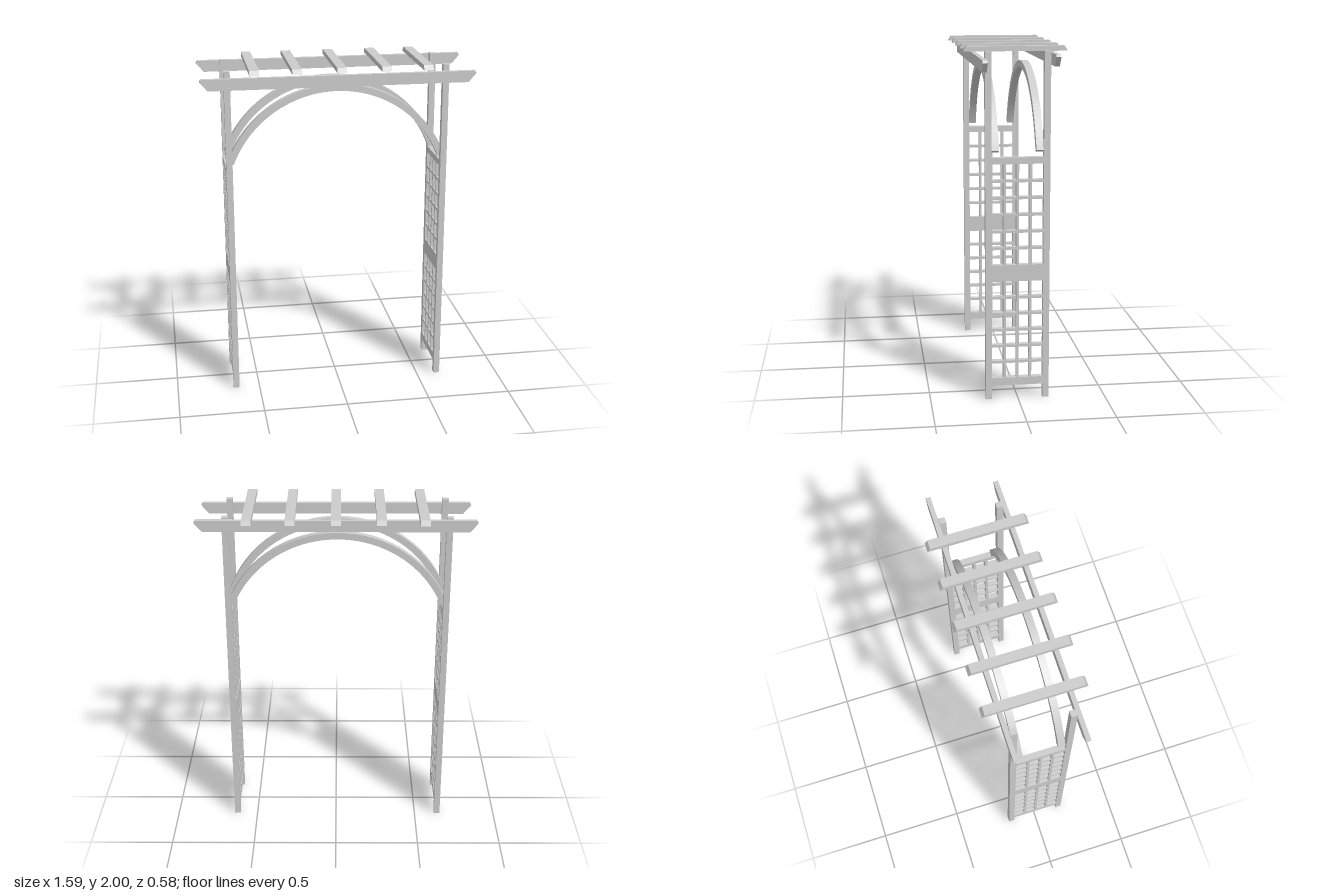
import * as THREE from 'three';

const material = new THREE.MeshStandardMaterial({ color: 0xcccccc, flatShading: true });

function add(parent, name, geometry) {
  const mesh = new THREE.Mesh(geometry, material);
  mesh.name = name;
  parent.add(mesh);
  return mesh;
}

// Box given by its low and high corner on each axis
function bar(parent, name, [x0, x1], [y0, y1], [z0, z1]) {
  add(parent, name, new THREE.BoxGeometry(x1 - x0, y1 - y0, z1 - z0))
    .position.set((x0 + x1) / 2, (y0 + y1) / 2, (z0 + z1) / 2);
}

// Outline in x and y, extruded from z0 to z1
function plank(parent, name, points, z0, z1) {
  const shape = new THREE.Shape(points.map(([x, y]) => new THREE.Vector2(x, y)));
  const geometry = new THREE.ExtrudeGeometry(shape, { depth: z1 - z0, bevelEnabled: false });
  geometry.translate(0, 0, z0);
  return add(parent, name, geometry);
}

const MID_X = -0.008; // the frame sits slightly off centre under the beams
const SEAM = 0.745;
const FRONT_POST = [0.149, 0.185];
const BACK_POST = [-0.178, -0.142];

// One trellis panel: two rails and a grid of slats
function trellis(parent, x, bottomRail, topRail) {
  const panel = new THREE.Group();
  panel.name = 'trellisPanel';
  parent.add(panel);
  const z0 = BACK_POST[1], z1 = FRONT_POST[0];
  bar(panel, 'bottomRail', x, bottomRail, [z0, z1]);
  bar(panel, 'topRail', x, topRail, [z0, z1]);
  const low = bottomRail[1], high = topRail[0], half = 0.0075;
  for (let i = 1; i < 4; i++) {
    const z = z0 + (z1 - z0) * i / 4;
    bar(panel, 'uprightSlat', [x[0] + 0.001, x[1] - 0.001], [low, high], [z - half, z + half]);
  }
  for (let i = 1; i < 6; i++) {
    const y = low + (high - low) * i / 6;
    bar(panel, 'crossSlat', [x[0] + 0.002, x[1] - 0.002], [y - half, y + half], [z0, z1]);
  }
}

export function createModel() {
  const model = new THREE.Group();
  model.name = 'gardenArch';

  // Side frames: split posts and two stacked trellis panels
  for (const side of [1, -1]) {
    const frame = new THREE.Group();
    frame.name = side > 0 ? 'leftFrame' : 'rightFrame';
    model.add(frame);
    const centre = MID_X + side * 0.6335;
    const x = [centre - 0.018, centre + 0.018];
    for (const z of [FRONT_POST, BACK_POST]) {
      bar(frame, 'lowerPost', x, [0, SEAM], z);
      bar(frame, 'upperPost', x, [SEAM, 1.98], z);
    }
    trellis(frame, x, [0.08, 0.125], [0.695, SEAM]);
    trellis(frame, x, [SEAM, 0.79], [1.363, 1.4]);
  }

  // Curved braces between the side frames
  const start = 0.368;
  const arc = new THREE.Shape();
  arc.absarc(MID_X, 1.189, 0.689, start, Math.PI - start, false);
  arc.absarc(MID_X, 1.189, 0.65, Math.PI - start, start, true);
  for (const [name, z0, z1] of [['frontArch', 0.107, 0.149], ['backArch', -0.143, -0.101]]) {
    const geometry = new THREE.ExtrudeGeometry(arc, { depth: z1 - z0, bevelEnabled: false, curveSegments: 32 });
    geometry.translate(0, 0, z0);
    add(model, name, geometry);
  }

  // Long beams with slanted ends, the back one a little higher
  for (const [name, y, z0, z1] of [['frontBeam', 1.878, 0.186, 0.213], ['backBeam', 1.906, -0.206, -0.179]]) {
    plank(model, name, [
      [-0.752, y], [0.752, y], [0.797, y + 0.052], [0.79, y + 0.066],
      [-0.79, y + 0.066], [-0.797, y + 0.052],
    ], z0, z1);
  }

  // Rafters lying across the beams, top corners cut back at the ends
  for (const x of [-0.495, -0.255, 0, 0.256, 0.497]) {
    const rafter = plank(model, 'rafter', [
      [-0.29, 1.972], [0.29, 1.972], [0.274, 2], [-0.274, 2],
    ], -0.0275, 0.0275);
    rafter.rotation.y = Math.PI / 2;
    rafter.position.x = x;
  }

  return model;
}
